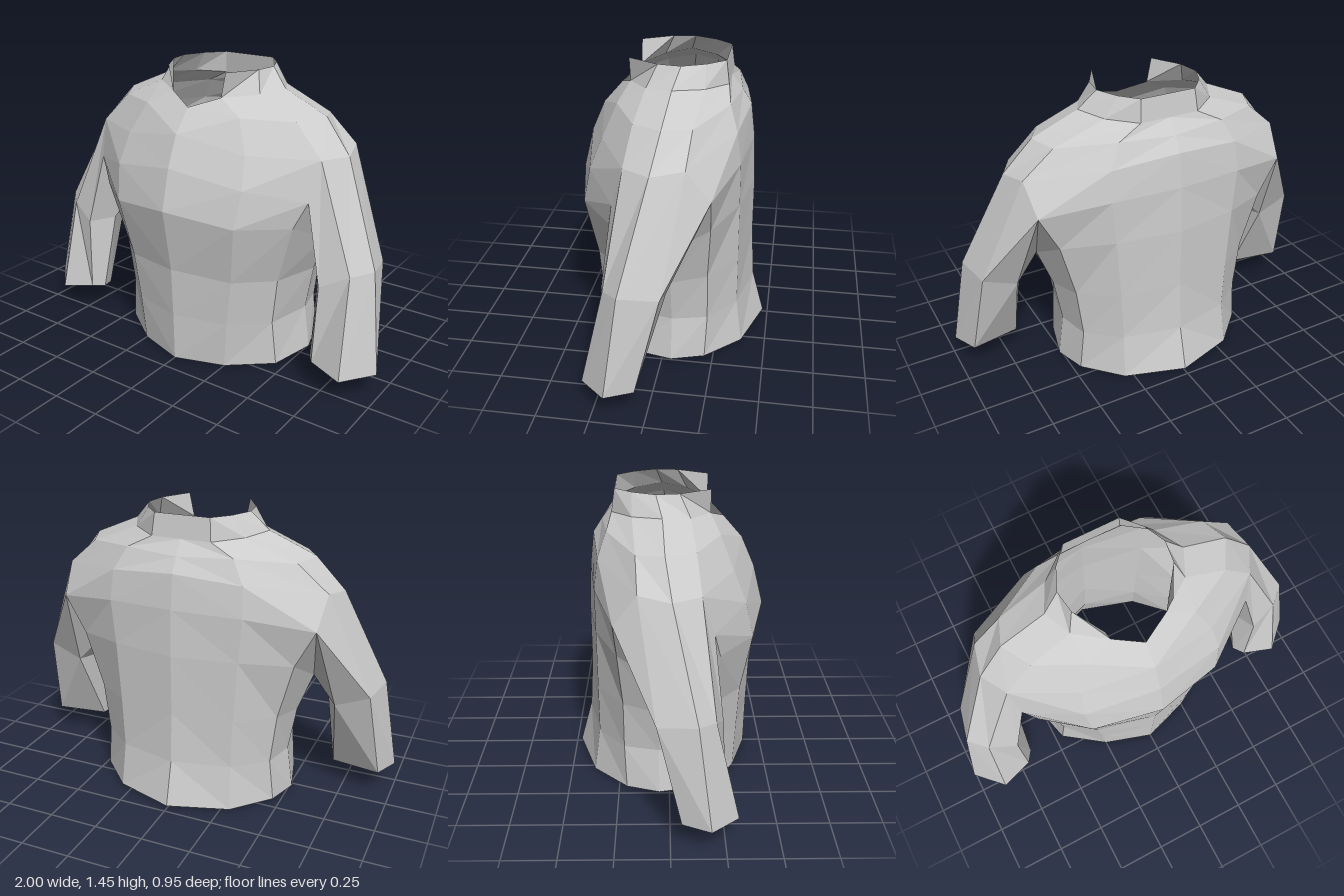
import * as THREE from 'three';

// Points shared by the torso and the sleeve around the arm opening (+x side)
const armTop = [0.72, 1.1, 0.01];
const armFront = [0.645, 1.1, 0.14];
const pitFront = [0.62, 0.91, 0.2];
const underarm = [0.6, 0.66, -0.03];
const pitBack = [0.66, 0.97, -0.25];
const armBack = [0.68, 1.12, -0.14];

// Half cross-sections, each running from centre front round to centre back
const hem = [[0, 0, 0.41], [0.25, 0, 0.33], [0.46, 0.01, 0.18], [0.52, 0.02, -0.05],
  [0.47, 0.02, -0.21], [0.3, 0.015, -0.38], [0, 0.015, -0.475]];
const waist = [[0, 0.25, 0.415], [0.27, 0.24, 0.34], [0.44, 0.24, 0.19], [0.49, 0.24, -0.05],
  [0.45, 0.24, -0.22], [0.29, 0.24, -0.35], [0, 0.24, -0.415]];
const ribs = [[0, 0.5, 0.425], [0.3, 0.48, 0.35], [0.47, 0.48, 0.2], [0.53, 0.47, -0.05],
  [0.48, 0.49, -0.22], [0.3, 0.49, -0.35], [0, 0.5, -0.4]];
const chest = [[0, 0.82, 0.48], [0.345, 0.78, 0.4], [0.56, 0.78, 0.23], underarm,
  [0.56, 0.78, -0.24], [0.32, 0.8, -0.35], [0, 0.8, -0.4]];
const armpit = [[0, 1.02, 0.43], [0.365, 0.96, 0.36], pitFront, underarm,
  pitBack, [0.34, 1.02, -0.35], [0, 1.03, -0.39]];
const shoulder = [[0, 1.17, 0.365], [0.34, 1.11, 0.3], armFront, armTop,
  armBack, [0.33, 1.17, -0.33], [0, 1.2, -0.37]];
const yoke = [[0, 1.28, 0.27], [0.27, 1.26, 0.24], [0.5, 1.25, 0.12], [0.58, 1.26, -0.02],
  [0.53, 1.25, -0.15], [0.27, 1.28, -0.29], [0, 1.27, -0.325]];
const neck = [[0, 1.28, 0.27], [0.14, 1.33, 0.2], [0.29, 1.345, 0.1], [0.35, 1.36, -0.03],
  [0.28, 1.35, -0.17], [0.15, 1.34, -0.27], [0, 1.34, -0.27]];
const collarTop = [[0.165, 1.45, 0.2], [0.25, 1.45, 0.05], [0.265, 1.45, -0.06],
  [0.215, 1.45, -0.17], [0.14, 1.45, -0.255], [0, 1.45, -0.255]];

// Sleeve cross-sections: outer, front, inner front, inner, inner back, back
const armhole = [armTop, armFront, pitFront, underarm, pitBack, armBack];
const elbow = [[0.93, 0.62, 0.12], [0.845, 0.6, 0.2], [0.71, 0.53, 0.24],
  [0.64, 0.53, 0.11], [0.72, 0.53, -0.06], [0.89, 0.6, -0.06]];
const cuff = [[1, 0.14, 0.18], [0.87, 0.12, 0.31], [0.7, 0.145, 0.26],
  [0.66, 0.135, 0.2], [0.69, 0.12, 0.12], [0.94, 0.14, 0.05]];

const material = new THREE.MeshStandardMaterial({
  color: 0xcccccc, flatShading: true, side: THREE.DoubleSide,
});

// Skins consecutive cross-sections; mirror = -1 builds the opposite half
function skin(rows, mirror, closed = false, isHole = () => false) {
  const out = [];
  const tri = (a, b, c) => {
    if (a === b || b === c || a === c) return;
    const order = mirror > 0 ? [a, b, c] : [a, c, b];
    for (const [x, y, z] of order) out.push(x * mirror, y, z);
  };
  for (let r = 0; r < rows.length - 1; r++) {
    const low = rows[r], high = rows[r + 1], n = low.length;
    for (let c = 0; c < (closed ? n : n - 1); c++) {
      if (isHole(low, c)) continue;
      const d = (c + 1) % n;
      tri(low[c], low[d], high[d]);
      tri(low[c], high[d], high[c]);
    }
  }
  return out;
}

function part(name, positions) {
  const geometry = new THREE.BufferGeometry();
  geometry.setAttribute('position', new THREE.Float32BufferAttribute(positions, 3));
  geometry.computeVertexNormals();
  const mesh = new THREE.Mesh(geometry, material);
  mesh.name = name;
  return mesh;
}

export function createModel() {
  const group = new THREE.Group();
  group.name = 'jacket';

  const bothHalves = (...args) => [1, -1].flatMap((side) => skin(args[0], side, false, args[1]));
  // The arm opening replaces the two side cells above the armpit
  const armOpening = (row, c) => row === armpit && (c === 2 || c === 3);
  neck[0] = yoke[0]; // the neckline dips to a point at the front

  group.add(
    part('torso', bothHalves([hem, waist, ribs, chest, armpit, shoulder], armOpening)),
    part('yoke', bothHalves([shoulder, yoke, neck])),
    part('collar', bothHalves([neck.slice(1), collarTop])), // open at the front
    part('leftSleeve', skin([armhole, elbow, cuff], 1, true)),
    part('rightSleeve', skin([armhole, elbow, cuff], -1, true)),
  );
  return group;
}
